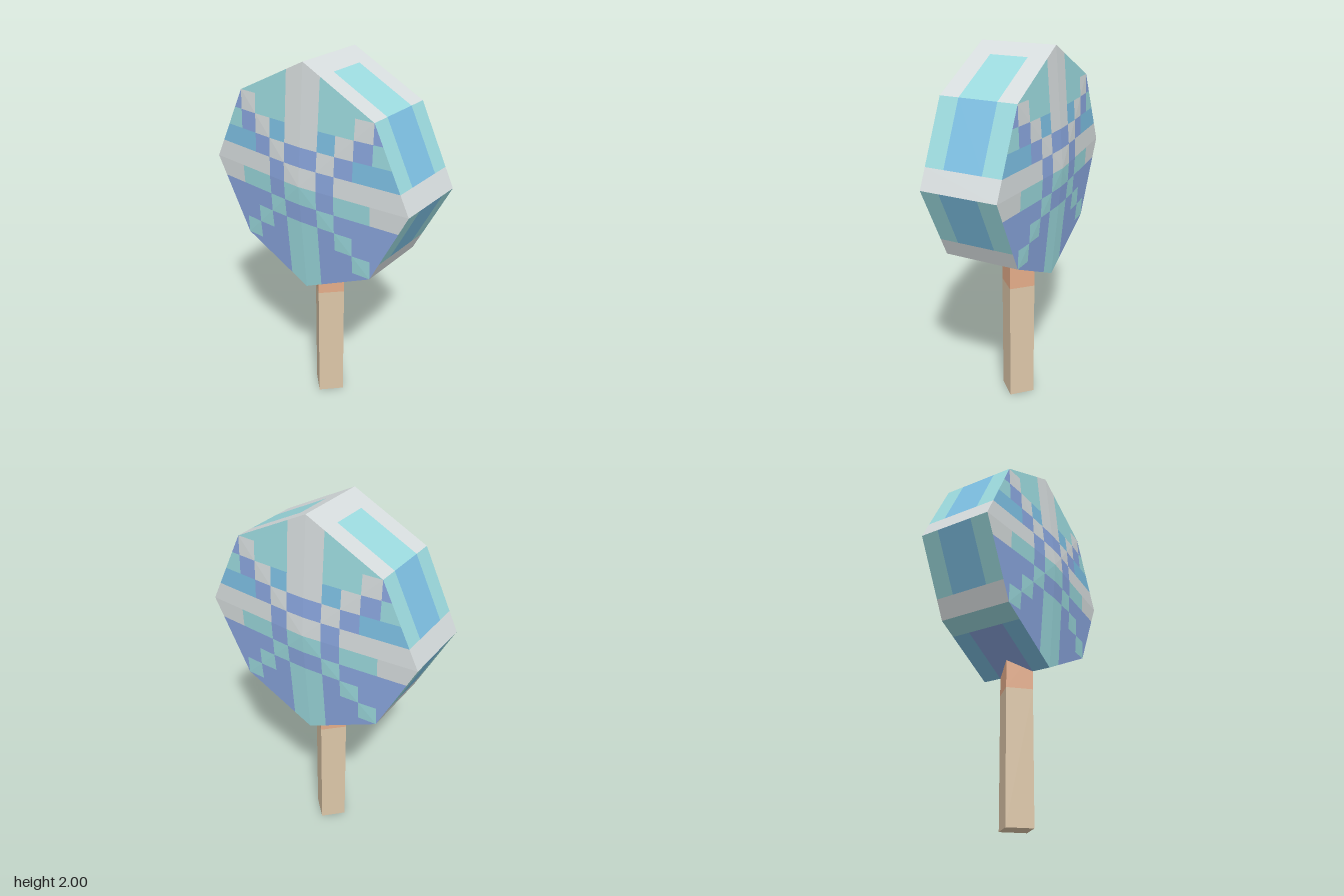
import * as THREE from 'three';

const mat = (name, color) => {
  const m = new THREE.MeshStandardMaterial({ color });
  m.name = name;
  return m;
};
const materials = [
  mat('paleGrey', 0xd6dcdd), mat('teal', 0x9bd9dd), mat('blue', 0x7dbfe2),
  mat('periwinkle', 0x8aa6de), mat('wood', 0xdcc6a8), mat('stainedWood', 0xe3ac89),
];
const KEYS = 'gtbp'; // paleGrey, teal, blue, periwinkle

// Collects flat polygons by colour and joins them into one grouped geometry
class Patches {
  constructor() { this.lists = [[], [], [], []]; }
  add(key, points, flip) {
    const p = flip ? [...points].reverse() : points;
    for (let i = 1; i < p.length - 1; i++) this.lists[KEYS.indexOf(key)].push(p[0], p[i], p[i + 1]);
  }
  mesh(name) {
    const geo = new THREE.BufferGeometry().setFromPoints(this.lists.flat());
    let start = 0;
    this.lists.forEach((l, i) => {
      if (l.length) geo.addGroup(start, l.length, i);
      start += l.length;
    });
    geo.computeVertexNormals();
    const m = new THREE.Mesh(geo, materials);
    m.name = name;
    return m;
  }
}

// Keeps the part of a [z, y] polygon where a*z + b*y <= c
function clip(poly, a, b, c) {
  const out = [];
  poly.forEach((p, i) => {
    const q = poly[(i + 1) % poly.length];
    const dp = a * p[0] + b * p[1] - c, dq = a * q[0] + b * q[1] - c;
    if (dp <= 1e-9) out.push(p);
    if ((dp < -1e-9 && dq > 1e-9) || (dp > 1e-9 && dq < -1e-9)) {
      const t = dp / (dp - dq);
      out.push([p[0] + (q[0] - p[0]) * t, p[1] + (q[1] - p[1]) * t]);
    }
  });
  return out;
}

const CENTRE = 1.4, HALF = 0.2, BULGE = 0.05;

// Half of the face pattern: rows from top to bottom, cells from rim to centre
const PATTERN = [
  'tttttg', 'tttttg', 'ppgttg', 'ttpgbg', 'bbbpgp', 'ggggpg',
  'ggttpt', 'pppptp', 'ppptpt', 'pptppt', 'pppppt', 'pppppt',
];

// Shallow eight-sided cone closing one side of the head
function headFace(side) {
  const patches = new Patches();
  PATTERN.forEach((row, r) => [...row].forEach((key, c) => {
    const sy = r < 6 ? 1 : -1;
    const y0 = (r < 6 ? 5 - r : r - 6) / 10, z0 = (5 - c) / 10;
    const cell = [[z0, y0], [z0 + 0.1, y0], [z0 + 0.1, y0 + 0.1], [z0, y0 + 0.1]];
    const pieces = [
      clip(clip(cell, 1, -1, 0), 1, 2, 1.2),
      clip(clip(cell, -1, 1, 0), 2, 1, 1.2),
    ];
    for (const piece of pieces) {
      if (piece.length < 3) continue;
      for (const sz of [1, -1]) {
        const pts = piece.map(([z, y]) => new THREE.Vector3(
          side * (HALF + BULGE * (1 - Math.max(z + 2 * y, 2 * z + y) / 1.2)), CENTRE + sy * y, sz * z));
        patches.add(key, pts, side * sy * sz > 0);
      }
    }
  }));
  return patches.mesh(side > 0 ? 'leftFace' : 'rightFace');
}

// Rim facets from top to bottom: each has a border, a centre panel and an end band
const OUTLINE = [[0, 2], [0.4, 1.8], [0.6, 1.4], [0.4, 1], [0, 0.8]];
const FACETS = [
  { border: 'g', panel: 't', band: 'g', bandFirst: true },
  { border: 't', panel: 'b', band: 'g', bandFirst: false },
  { border: 't', panel: 'b', band: 'g', bandFirst: false },
  { border: 'b', panel: 'p', band: 't', bandFirst: true },
];

function rim() {
  const patches = new Patches();
  FACETS.forEach(({ border, panel, band, bandFirst }, i) => {
    const [a, b] = [OUTLINE[i], OUTLINE[i + 1]];
    const [u0, u1] = bandFirst ? [0.25, 1] : [0, 0.75];
    const [v0, v1] = bandFirst ? [0, 0.25] : [0.75, 1];
    for (const sz of [1, -1]) {
      const at = (x, u) => new THREE.Vector3(
        x, a[1] + (b[1] - a[1]) * u, sz * (a[0] + (b[0] - a[0]) * u));
      const quad = (key, x0, x1, s, e) =>
        patches.add(key, [at(x0, s), at(x0, e), at(x1, e), at(x1, s)], sz < 0);
      quad(border, -HALF, -0.1, u0, u1);
      quad(panel, -0.1, 0.1, u0, u1);
      quad(border, 0.1, HALF, u0, u1);
      quad(band, -HALF, HALF, v0, v1);
    }
  });
  return patches.mesh('rim');
}

// Square stick section turned corner-on to the front
function stickPart(name, material, y0, y1) {
  const geo = new THREE.CylinderGeometry(0.1, 0.1, y1 - y0, 4).toNonIndexed();
  geo.computeVertexNormals();
  const m = new THREE.Mesh(geo, material);
  m.position.y = (y0 + y1) / 2;
  m.name = name;
  return m;
}

export function createModel() {
  const model = new THREE.Group();
  model.name = 'lollipop';
  const head = new THREE.Group();
  head.name = 'head';
  head.add(rim(), headFace(1), headFace(-1));
  const stick = new THREE.Group();
  stick.name = 'stick';
  stick.add(stickPart('stickShaft', materials[4], 0, 0.7), stickPart('stickTop', materials[5], 0.7, 0.9));
  model.add(head, stick);
  return model;
}
